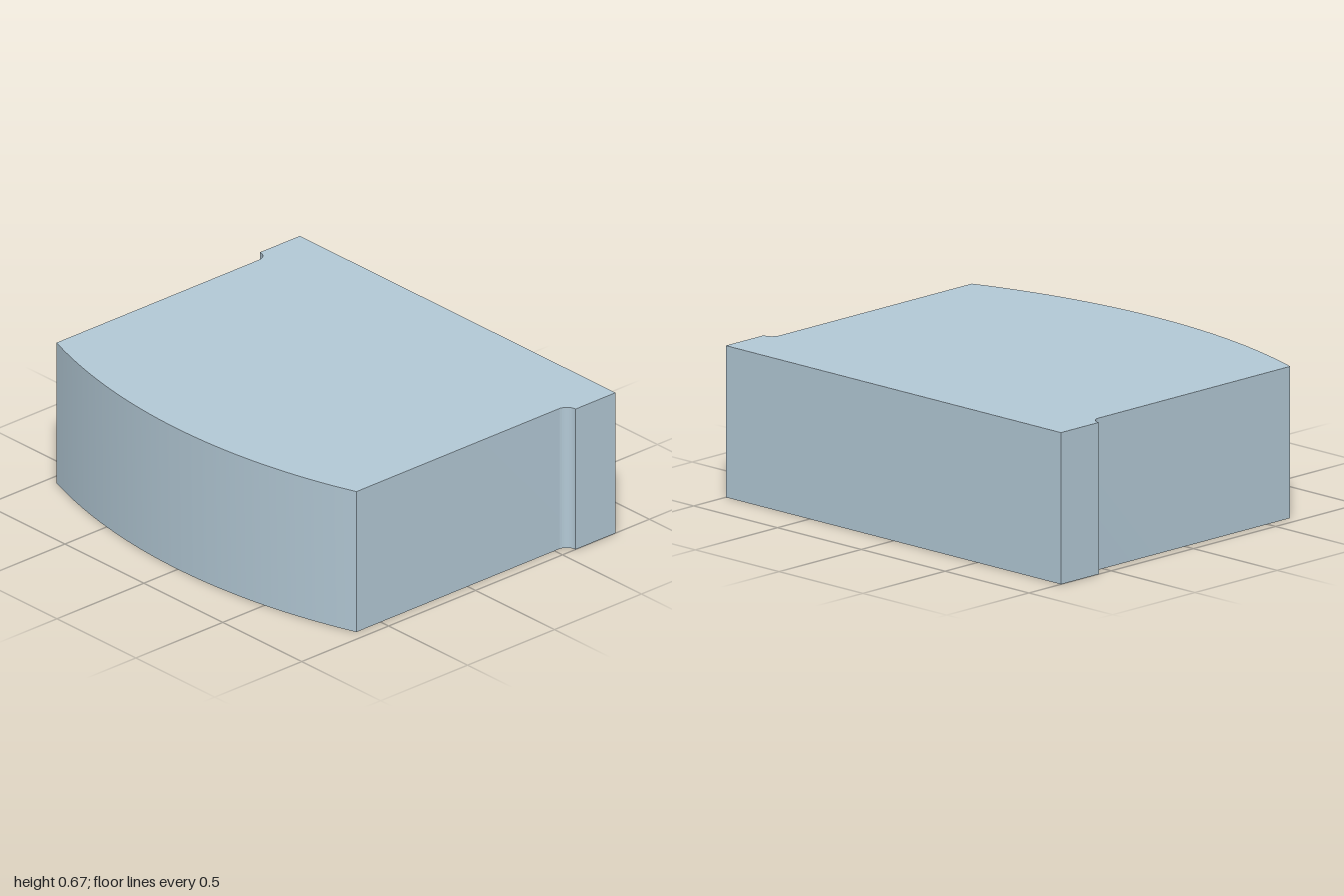
import * as THREE from 'three';
import { toCreasedNormals } from 'three/addons/utils/BufferGeometryUtils.js';

const HEIGHT = 0.67;
const BACK = 0.805;       // distance of back face and front crown from the centre
const SIDE = 0.95;        // half width of the body
const FLANGE = 1;         // half width of the rear flange
const FILLET = 0.05;      // radius between flange and side wall
const FILLET_Y = 0.525;
const SAGITTA = 0.165;    // bulge of the front face

export function createModel() {
  const group = new THREE.Group();
  group.name = 'bowFrontBlock';

  // Plan outline; shape y points to the back
  const radius = (SIDE * SIDE + SAGITTA * SAGITTA) / (2 * SAGITTA);
  const half = Math.asin(SIDE / radius);
  const outline = new THREE.Shape();
  // bowed front
  outline.absarc(0, radius - BACK, radius, -Math.PI / 2 - half, -Math.PI / 2 + half, false);
  // left wall, fillet and flange
  outline.lineTo(SIDE, FILLET_Y);
  outline.absarc(FLANGE, FILLET_Y, FILLET, Math.PI, Math.PI / 2, true);
  outline.lineTo(FLANGE, BACK);
  // flat back, then the mirrored right side
  outline.lineTo(-FLANGE, BACK);
  outline.lineTo(-FLANGE, FILLET_Y + FILLET);
  outline.absarc(-FLANGE, FILLET_Y, FILLET, Math.PI / 2, 0, true);
  outline.closePath();

  // Raise the outline to full height
  const extruded = new THREE.ExtrudeGeometry(outline, {
    depth: HEIGHT, bevelEnabled: false, curveSegments: 24,
  });
  extruded.rotateX(-Math.PI / 2);

  const body = new THREE.Mesh(
    toCreasedNormals(extruded, Math.PI / 9),
    new THREE.MeshStandardMaterial({ color: 0xb4cad7 }),
  );
  body.name = 'body';
  group.add(body);
  return group;
}
